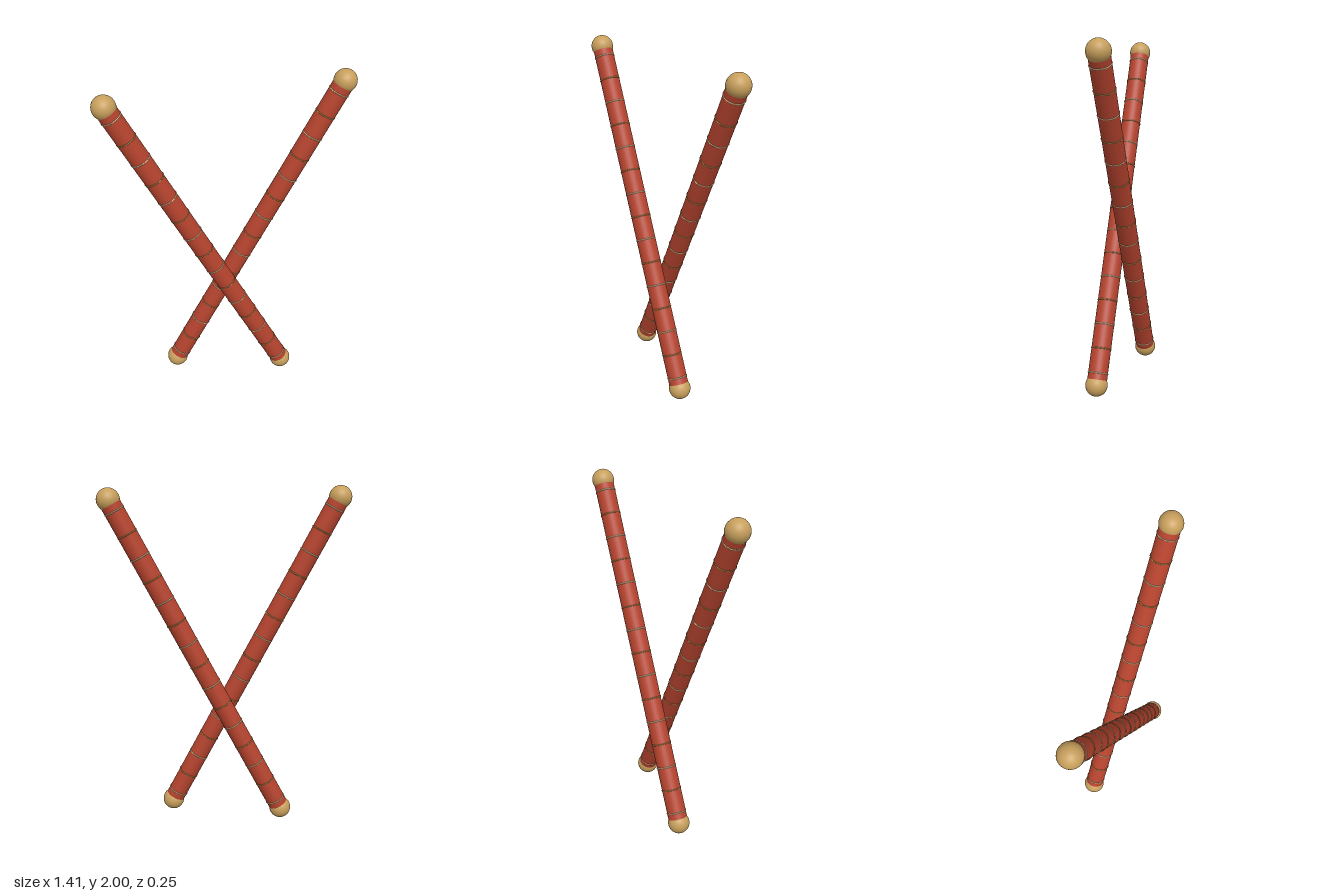
import * as THREE from 'three';

const RED = new THREE.MeshStandardMaterial({ color: 0xb5432e });
const GOLD = new THREE.MeshStandardMaterial({ color: 0xc79f5c });
const CREAM = new THREE.MeshStandardMaterial({ color: 0xead9a4 });
const DARK_GOLD = new THREE.MeshStandardMaterial({ color: 0xb8924a });

const TOP = new THREE.Vector2(0.64, 1.9355);
const BOTTOM = new THREE.Vector2(-0.33, 0.0645);
const LENGTH = TOP.distanceTo(BOTTOM);
const RADIUS = 0.0573;
const RINGS = 15;

function add(parent, name, geometry, material, y = 0) {
  const mesh = new THREE.Mesh(geometry, material);
  mesh.name = name;
  mesh.position.y = y;
  parent.add(mesh);
}

// One upright stick centred on its own origin
function makeStick(name) {
  const stick = new THREE.Group();
  stick.name = name;
  add(stick, 'shaft', new THREE.CylinderGeometry(RADIUS, RADIUS, LENGTH, 40), RED);

  // Ball caps at both ends
  const ball = new THREE.SphereGeometry(0.0645, 40, 28);
  add(stick, 'topBall', ball, GOLD, LENGTH / 2);
  add(stick, 'bottomBall', ball, GOLD, -LENGTH / 2);

  // Thin bands in alternating colours
  const band = new THREE.TorusGeometry(RADIUS - 0.001, 0.004, 8, 48).rotateX(Math.PI / 2);
  const reach = LENGTH / 2 - 0.068;
  for (let i = 0; i < RINGS; i++) {
    const y = reach * (1 - (2 * i) / (RINGS - 1));
    add(stick, i % 2 ? 'goldBand' : 'creamBand', band, i % 2 ? DARK_GOLD : CREAM, y);
  }
  return stick;
}

export function createModel() {
  const model = new THREE.Group();
  model.name = 'crossedSticks';
  const lean = Math.atan2(TOP.x - BOTTOM.x, TOP.y - BOTTOM.y);

  // Front stick leans to -x, back stick to +x
  for (const side of [1, -1]) {
    const stick = makeStick(side > 0 ? 'frontStick' : 'backStick');
    stick.position.set(-side * (TOP.x + BOTTOM.x) / 2, (TOP.y + BOTTOM.y) / 2, side * 0.0615);
    stick.rotation.z = side * lean;
    model.add(stick);
  }
  return model;
}
